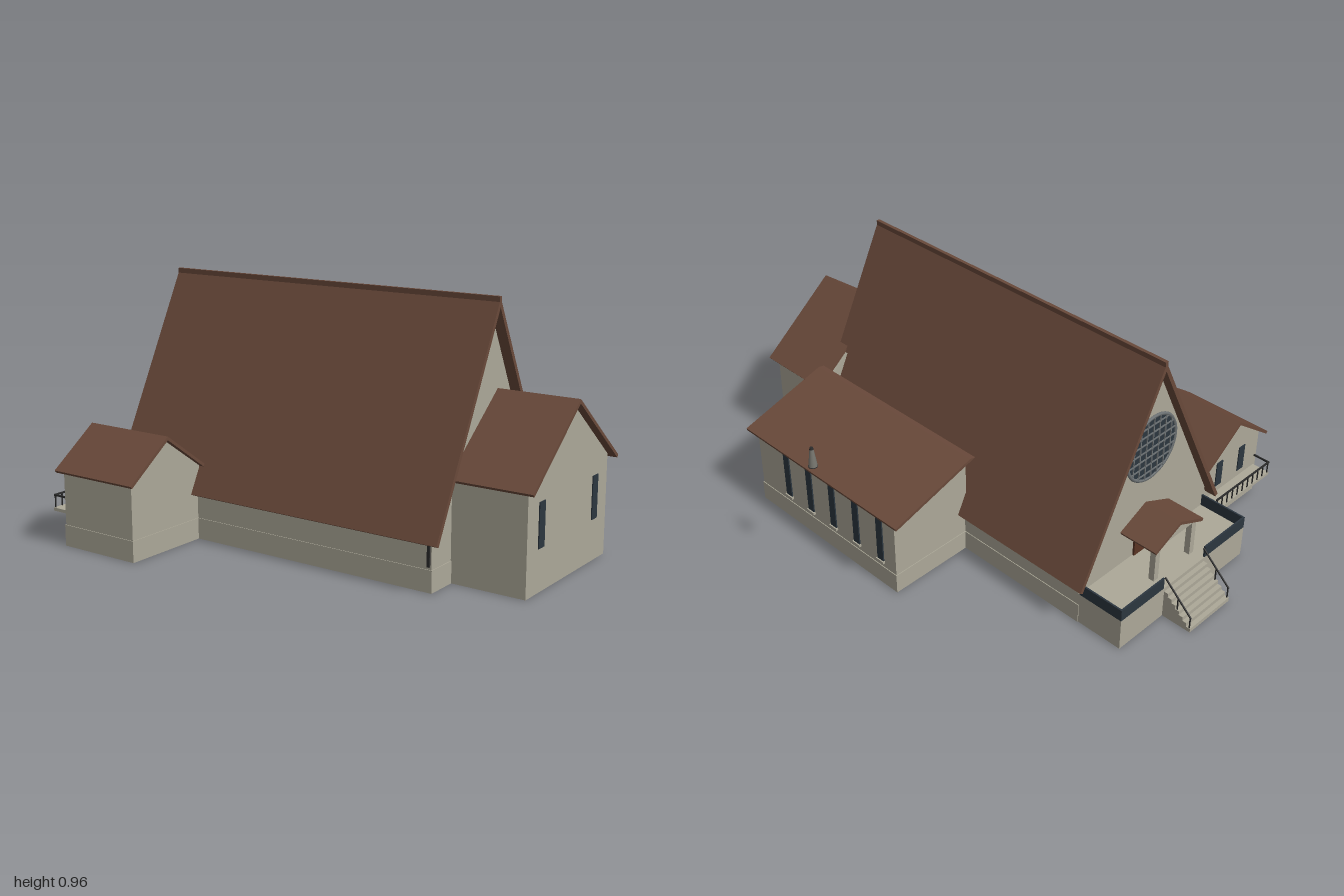
import * as THREE from 'three';

const mat = (name, color, side = THREE.FrontSide) => {
  const m = new THREE.MeshStandardMaterial({ color, side });
  m.name = name;
  return m;
};

export function createModel() {
  const root = new THREE.Group();
  root.name = 'church';
  const wall = mat('stone wall', 0xaca898);
  const tile = mat('roof tile', 0x69493a);
  const glass = mat('dark glass', 0x2c363f);
  const metal = mat('dark metal', 0x2b2b2b);
  const lead = mat('window lead', 0x6d7274);
  const wood = mat('door wood', 0x5a3424);
  const base = mat('dark floor', 0x4a4844);
  const spireGrey = mat('spire grey', 0x77766f, THREE.DoubleSide);

  const add = (name, geo, m, parent = root) => {
    const mesh = new THREE.Mesh(geo, m);
    mesh.name = name;
    parent.add(mesh);
    return mesh;
  };
  // Box given by its minimum and maximum corners
  const box = (name, m, [x0, y0, z0], [x1, y1, z1], parent) =>
    add(name, new THREE.BoxGeometry(x1 - x0, y1 - y0, z1 - z0)
      .translate((x0 + x1) / 2, (y0 + y1) / 2, (z0 + z1) / 2), m, parent);
  // Profile of [z, y] points extruded along x
  const prism = (name, m, pts, x0, x1, parent) => {
    const shape = new THREE.Shape(pts.map(([z, y]) => new THREE.Vector2(z, y)));
    const geo = new THREE.ExtrudeGeometry(shape, { depth: x1 - x0, bevelEnabled: false });
    return add(name, geo.rotateY(-Math.PI / 2).translate(x1, 0, 0), m, parent);
  };
  // Gable roof of even thickness t with its ridge along x
  const gableRoof = (name, zc, h, eave, ridge, t, x0, x1) => {
    const rise = ridge - eave, len = Math.hypot(rise, h);
    const hi = h - t * rise / len, ei = eave - t * h / len, ri = ridge - t * len / h;
    prism(name, tile, [[zc - h, eave], [zc - hi, ei], [zc, ri], [zc + hi, ei], [zc + h, eave], [zc, ridge]], x0, x1);
  };
  // Thin bar between two points
  const bar = (name, m, a, b, w, parent) => {
    const p = new THREE.Vector3(...a), q = new THREE.Vector3(...b);
    const mesh = add(name, new THREE.BoxGeometry(w, w, p.distanceTo(q)), m, parent);
    mesh.position.copy(p).add(q).multiplyScalar(0.5);
    mesh.lookAt(q);
    return mesh;
  };

  // Nave with its steep roof
  prism('naveWalls', wall, [[-0.287, 0], [0.42, 0], [0.42, 0.212], [0.067, 0.918], [-0.287, 0.212]], -0.68, 0.685);
  gableRoof('naveRoof', 0.067, 0.39, 0.178, 0.95, 0.015, -0.718, 0.725);
  box('naveRidgeCap', tile, [-0.718, 0.935, 0.06], [0.725, 0.955, 0.074]);
  box('navePlinth', wall, [-0.683, 0, -0.29], [0.688, 0.08, 0.423]);
  box('downspout', metal, [0.67, 0.09, 0.42], [0.68, 0.225, 0.427]);

  // Chancel at the right end
  prism('chancelWalls', wall, [[-0.297, 0], [0.297, 0], [0.297, 0.374], [0, 0.61], [-0.297, 0.374]], 0.67, 0.97);
  gableRoof('chancelRoof', 0, 0.322, 0.368, 0.625, 0.012, 0.682, 1);
  for (const z of [-0.2, 0.2])
    box('chancelWindow', glass, [0.968, 0.155, z - 0.02], [0.974, 0.315, z + 0.02]);

  // Rear aisle with a lean-to roof
  prism('aisleWalls', wall, [[-0.635, 0], [-0.28, 0], [-0.28, 0.43], [-0.635, 0.327]], -0.11, 0.67);
  prism('aisleRoof', tile, [[-0.662, 0.335], [-0.659, 0.324], [-0.27, 0.44], [-0.295, 0.445]], -0.15, 0.706);
  box('aisleFloor', base, [-0.105, -0.001, -0.63], [0.665, 0.004, -0.292]);
  box('aislePlinth', wall, [-0.113, 0, -0.638], [0.673, 0.08, -0.28]);
  for (let i = 0; i < 5; i++) {
    const x = 0.5 - 0.1325 * i;
    box('aisleWindow', glass, [x - 0.016, 0.11, -0.64], [x + 0.016, 0.305, -0.633]);
    box('aisleSill', wall, [x - 0.02, 0.1, -0.645], [x + 0.02, 0.11, -0.633]);
  }

  // Front wing
  prism('wingWalls', wall, [[0.41, 0], [0.768, 0], [0.768, 0.285], [0.595, 0.412], [0.41, 0.28]], -0.67, -0.335);
  gableRoof('wingRoof', 0.595, 0.195, 0.286, 0.428, 0.011, -0.695, -0.315);
  box('wingFloor', base, [-0.665, -0.001, 0.425], [-0.34, 0.004, 0.763]);
  box('wingPlinth', wall, [-0.673, 0, 0.42], [-0.332, 0.08, 0.771]);
  for (const z of [0.52, 0.66])
    box('wingWindow', glass, [-0.674, 0.16, z - 0.018], [-0.668, 0.27, z + 0.018]);

  // Balcony along the wing
  box('balconySlab', wall, [-0.745, 0.118, 0.415], [-0.665, 0.13, 0.757]);
  const rail = new THREE.Group();
  rail.name = 'balconyRailing';
  root.add(rail);
  for (let i = 0; i <= 10; i++) {
    const z = 0.425 + 0.0325 * i;
    bar('baluster', metal, [-0.741, 0.13, z], [-0.741, 0.178, z], 0.004, rail);
  }
  bar('topRail', metal, [-0.741, 0.178, 0.42], [-0.741, 0.178, 0.755], 0.006, rail);
  bar('endRail', metal, [-0.741, 0.178, 0.753], [-0.672, 0.178, 0.753], 0.006, rail);

  // Entrance terrace with glass parapet
  box('terrace', wall, [-0.875, 0, -0.287], [-0.675, 0.13, 0.415]);
  box('parapetRear', glass, [-0.873, 0.13, -0.287], [-0.685, 0.178, -0.28]);
  box('parapetFront', glass, [-0.873, 0.13, 0.408], [-0.672, 0.178, 0.415]);
  box('parapetLeft', glass, [-0.875, 0.13, -0.287], [-0.868, 0.178, -0.055]);
  box('parapetRight', glass, [-0.875, 0.13, 0.178], [-0.868, 0.178, 0.415]);

  // Stairs with sloping handrails
  const steps = 7;
  for (let i = 0; i < steps; i++)
    box('step', wall, [-1 + i * 0.125 / steps, 0, -0.052], [-0.87, (i + 1) * 0.13 / (steps + 1), 0.175]);
  for (const z of [-0.048, 0.171]) {
    bar('handrail', metal, [-0.998, 0.06, z], [-0.872, 0.176, z], 0.005);
    bar('handrailPost', metal, [-0.994, 0.01, z], [-0.994, 0.062, z], 0.004);
    bar('handrailPost', metal, [-0.935, 0.06, z], [-0.935, 0.116, z], 0.004);
  }

  // Porch canopy on columns, and the door
  gableRoof('porchRoof', 0.061, 0.135, 0.283, 0.345, 0.012, -0.84, -0.68);
  prism('porchGable', wall, [[-0.05, 0.276], [0.172, 0.276], [0.061, 0.327]], -0.825, -0.8);
  for (const z of [-0.04, 0.162])
    box('porchColumn', wall, [-0.826, 0.13, z - 0.012], [-0.802, 0.28, z + 0.012]);
  box('door', wood, [-0.688, 0.13, 0.005], [-0.678, 0.262, 0.12]);

  // Round window above the entrance
  const rose = new THREE.Group();
  rose.name = 'roseWindow';
  rose.position.set(-0.682, 0.585, 0.067);
  rose.rotation.y = -Math.PI / 2;
  root.add(rose);
  const R = 0.13;
  add('roseGlass', new THREE.CircleGeometry(R, 40), glass, rose).position.z = 0.002;
  add('roseRim', new THREE.TorusGeometry(R, 0.007, 6, 40), lead, rose);
  for (let i = -3; i <= 3; i++) {
    const o = i * 0.033, c = Math.sqrt(R * R - o * o);
    bar('roseBar', lead, [o, -c, 0.003], [o, c, 0.003], 0.005, rose).rotation.set(Math.PI / 2, 0, 0);
    add('roseBar', new THREE.BoxGeometry(2 * c, 0.005, 0.005), lead, rose).position.set(0, o, 0.003);
  }

  // Small detached spire behind the aisle
  const spire = new THREE.Group();
  spire.name = 'spire';
  spire.position.set(0.14, 0, -0.775);
  root.add(spire);
  const cone = new THREE.CylinderGeometry(0.007, 0.017, 0.075, 12, 1, true);
  add('spireBody', cone, spireGrey, spire).position.y = 0.5575;
  add('spireTop', new THREE.CylinderGeometry(0.006, 0.008, 0.008, 12), metal, spire).position.y = 0.597;
  add('spireRing', new THREE.TorusGeometry(0.016, 0.002, 6, 16).rotateX(Math.PI / 2), metal, spire).position.y = 0.521;

  return root;
}
